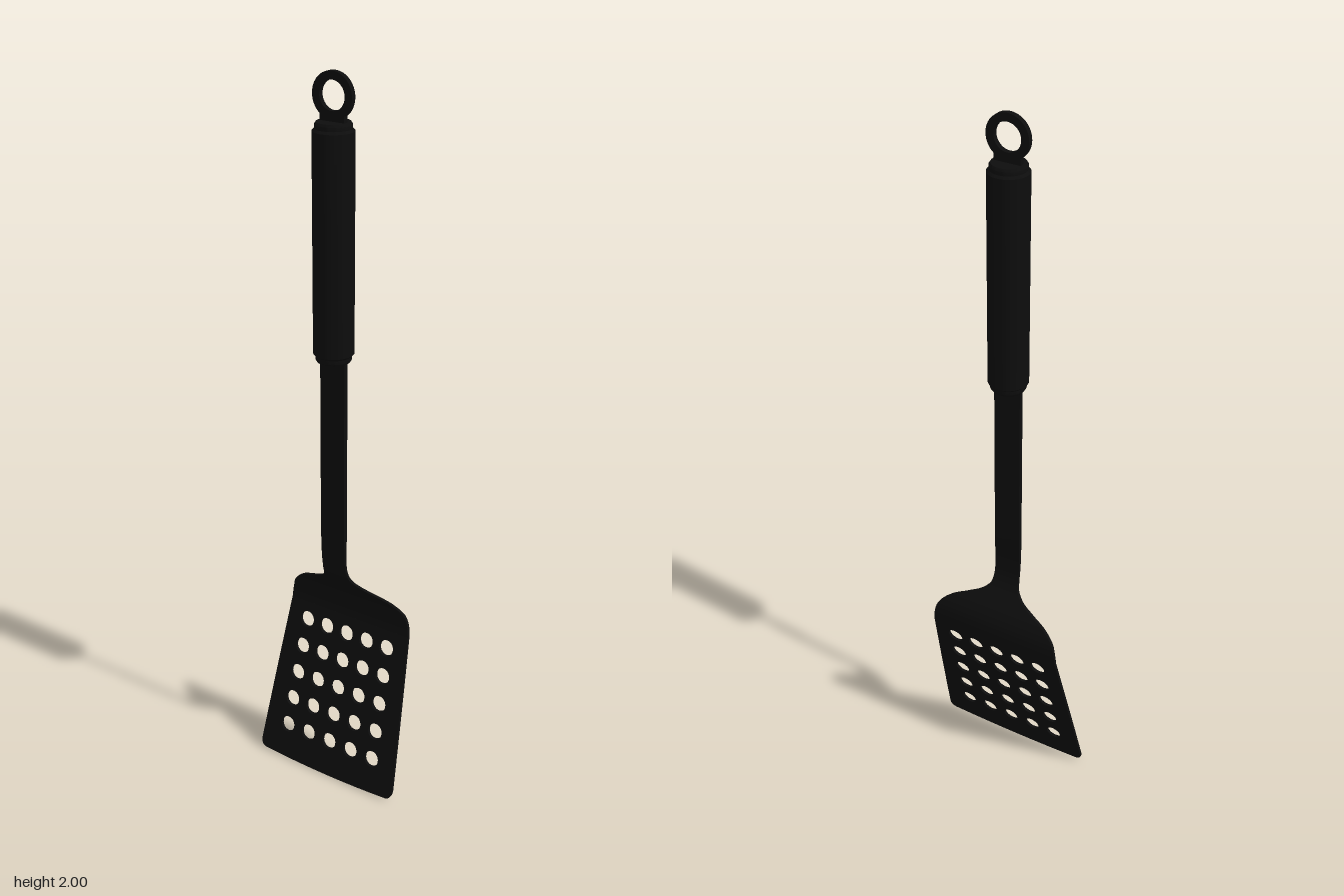
import * as THREE from 'three';
import { toCreasedNormals } from 'three/addons/utils/BufferGeometryUtils.js';

const material = new THREE.MeshStandardMaterial({ color: 0x0d0d0d });
const AXIS_Z = 0.014; // depth of the shaft, grip and ring
const JOIN_Y = 0.47; // where the flat blade meets the curved shoulder

function part(name, geometry) {
  const mesh = new THREE.Mesh(toCreasedNormals(geometry, 0.6), material);
  mesh.name = name;
  return mesh;
}

// Flat slanted blade with a grid of round holes
function bladeGeometry() {
  const s = new THREE.Shape();
  s.moveTo(-0.207, 0.007);
  s.quadraticCurveTo(0, -0.005, 0.207, 0.007);
  s.quadraticCurveTo(0.231, 0.007, 0.229, 0.035);
  s.quadraticCurveTo(0.215, 0.25, 0.198, JOIN_Y);
  s.lineTo(-0.198, JOIN_Y);
  s.quadraticCurveTo(-0.215, 0.25, -0.229, 0.035);
  s.quadraticCurveTo(-0.231, 0.007, -0.207, 0.007);
  for (let row = 0; row < 5; row++) {
    const y = 0.1 + row * 0.08;
    for (let col = -2; col <= 2; col++) {
      const hole = new THREE.Path();
      hole.absarc(col * (0.0735 - row * 0.0014), y, 0.0225, 0, Math.PI * 2, true);
      s.holes.push(hole);
    }
  }
  const g = new THREE.ExtrudeGeometry(s, { depth: 0.009, bevelEnabled: false, curveSegments: 14 });
  const p = g.attributes.position;
  for (let i = 0; i < p.count; i++) {
    p.setZ(i, p.getZ(i) - 0.0045 + 0.063 - 0.268 * p.getY(i));
  }
  return g;
}

// Curved shoulder narrowing into the flat shaft: rectangular sections along y
function shaftGeometry() {
  const profile = new THREE.CatmullRomCurve3([ // half width, height, depth
    [0.198, JOIN_Y, -0.063], [0.194, 0.505, -0.0645], [0.184, 0.535, -0.06],
    [0.15, 0.565, -0.047], [0.105, 0.585, -0.033], [0.066, 0.603, -0.019],
    [0.044, 0.625, -0.004], [0.038, 0.655, 0.008], [0.038, 0.7, 0.0135],
    [0.038, 0.78, AXIS_Z], [0.038, 1.3, AXIS_Z],
  ].map((v) => new THREE.Vector3(...v)));
  const rows = profile.getPoints(80);
  const position = [], index = [];
  rows.forEach(({ x: w, y, z }, i) => {
    const t = 0.0045 + 0.0025 * THREE.MathUtils.smoothstep(y, 0.7, 0.78);
    position.push(-w, y, z + t, w, y, z + t, w, y, z - t, -w, y, z - t);
    if (i === 0) return;
    for (let k = 0; k < 4; k++) {
      const a = (i - 1) * 4 + k, b = (i - 1) * 4 + (k + 1) % 4;
      index.push(a, b, b + 4, a, b + 4, a + 4);
    }
  });
  const g = new THREE.BufferGeometry();
  g.setAttribute('position', new THREE.Float32BufferAttribute(position, 3));
  g.setIndex(index);
  return g;
}

// Round grip with stepped, chamfered ends
function gripGeometry() {
  const points = [
    [0, 1.268], [0.043, 1.268], [0.047, 1.274], [0.047, 1.284], [0.053, 1.29],
    [0.053, 1.858], [0.047, 1.864], [0.047, 1.874], [0.043, 1.88], [0, 1.88],
  ].map(([r, y]) => new THREE.Vector2(r, y));
  return new THREE.LatheGeometry(points, 40).translate(0, 0, AXIS_Z);
}

// Flat hanging ring
function ringGeometry() {
  const s = new THREE.Shape().absarc(0, 1.942, 0.058, 0, Math.PI * 2, false);
  s.holes.push(new THREE.Path().absarc(0, 1.942, 0.037, 0, Math.PI * 2, true));
  return new THREE.ExtrudeGeometry(s, { depth: 0.014, bevelEnabled: false, curveSegments: 32 })
    .translate(0, 0, AXIS_Z - 0.007);
}

export function createModel() {
  const group = new THREE.Group();
  group.name = 'slottedTurner';
  group.add(
    part('blade', bladeGeometry()),
    part('shaft', shaftGeometry()),
    part('grip', gripGeometry()),
    part('ringNeck', new THREE.BoxGeometry(0.072, 0.04, 0.014).translate(0, 1.878, AXIS_Z)),
    part('hangingRing', ringGeometry()),
  );
  return group;
}
